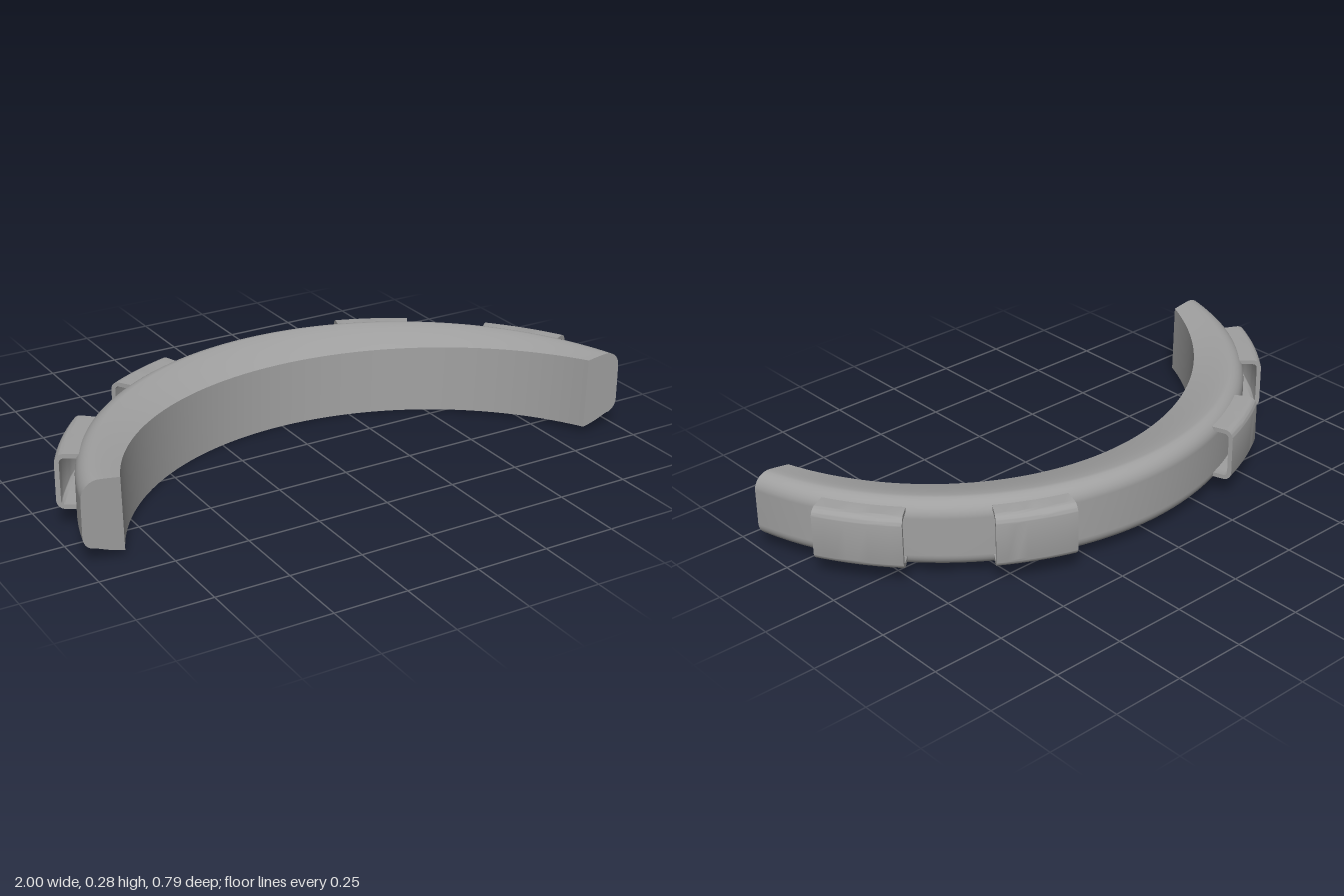
import * as THREE from 'three';
import { toCreasedNormals } from 'three/addons/utils/BufferGeometryUtils.js';

const grey = new THREE.MeshStandardMaterial({ color: 0xa0a0a0 });
grey.name = 'grey';

// Inner and outer arcs in plan: centre z, radius, half angle
const OUTER = { c: 0.64, r: 1.03, a: 1.331 };
const INNER = { c: 0.774, r: 0.944, a: 1.158 };
const arc = (o, t) => new THREE.Vector2(o.r * Math.sin(t * o.a), o.c - o.r * Math.cos(t * o.a));

// t runs along the arch (-1..1), u runs from the inner arc to the outer arc
function place(t, u, y) {
  const p = arc(INNER, t).lerp(arc(OUTER, t), u);
  return [p.x, y, p.y];
}
const width = (t) => arc(INNER, t).distanceTo(arc(OUTER, t));
const bottomEnd = (t) => 1 - 0.04 / width(t);
const bottomY = (t, u) => 0.02 * t * t + 0.05 * Math.pow(Math.max(u, 0), 1.3);
function bottomPoint(t, s) {
  const u = s * bottomEnd(t);
  return place(t, u, bottomY(t, u));
}

// Surface from fn(p, q), facing along dP x dQ
function grid(fn, np, nq) {
  const pos = [], idx = [];
  for (let i = 0; i <= np; i++) for (let j = 0; j <= nq; j++) pos.push(...fn(i / np, j / nq));
  for (let i = 0; i < np; i++) for (let j = 0; j < nq; j++) {
    const a = i * (nq + 1) + j, b = a + nq + 1;
    idx.push(a, b, a + 1, b, b + 1, a + 1);
  }
  const g = new THREE.BufferGeometry();
  g.setAttribute('position', new THREE.Float32BufferAttribute(pos, 3));
  g.setIndex(idx);
  g.computeVertexNormals();
  return g;
}

// Rounded outer side and sloping top of the cross-section
function outerProfile(t) {
  const w = width(t), pts = [], n = 7, y0 = bottomY(t, bottomEnd(t));
  for (let i = 0; i <= n; i++) {
    const a = (i / n) * Math.PI / 2;
    pts.push([1 - (0.04 / w) * (1 - Math.sin(a)), y0 + 0.045 * (1 - Math.cos(a))]);
  }
  for (let i = 0; i <= n; i++) {
    const a = (i / n) * Math.PI / 2;
    pts.push([1 - (0.055 / w) * (1 - Math.cos(a)), 0.22 + 0.055 * Math.sin(a)]);
  }
  const [u0, v0] = pts[pts.length - 1], v1 = 0.228 + 0.037 * t * t;
  for (let i = 1; i <= 4; i++) {
    const k = i / 4;
    pts.push([u0 + (0.04 - u0) * k, v0 + (v1 - v0) * Math.pow(k, 1.2)]);
  }
  return pts;
}

// Curved bracket that stands off the outer side, open at both ends
function clipGeometry(from, to) {
  const s = new THREE.Shape();
  const r0 = 1.0, r1 = 1.095, y0 = 0.068, y1 = 0.255, w = 0.015, c = 0.03, d = c - w;
  s.moveTo(r0, y0);
  s.lineTo(r1 - c, y0);
  s.absarc(r1 - c, y0 + c, c, -Math.PI / 2, 0, false);
  s.absarc(r1 - c, y1 - c, c, 0, Math.PI / 2, false);
  s.lineTo(r0, y1);
  s.lineTo(r0, y1 - w);
  s.absarc(r1 - c, y1 - c, d, Math.PI / 2, 0, true);
  s.absarc(r1 - c, y0 + c, d, 0, -Math.PI / 2, true);
  s.lineTo(r0, y0 + w);
  s.closePath();
  const g = new THREE.ExtrudeGeometry(s, { depth: 1, steps: 8, bevelEnabled: false, curveSegments: 6 });
  const p = g.attributes.position;
  for (let i = 0; i < p.count; i++) {
    const r = p.getX(i), a = THREE.MathUtils.degToRad(from + (to - from) * p.getZ(i));
    p.setXYZ(i, r * Math.sin(a), p.getY(i), OUTER.c - r * Math.cos(a));
  }
  return toCreasedNormals(g, 0.6);
}

export function createModel() {
  const group = new THREE.Group();
  const add = (name, geometry) => {
    const m = new THREE.Mesh(geometry, grey);
    m.name = name;
    group.add(m);
  };

  // Arched band: outer side with top, then inner wall
  const count = outerProfile(0).length - 1;
  add('bandOuter', grid((p, q) => {
    const t = q * 2 - 1;
    return place(t, ...outerProfile(t)[Math.round(p * count)]);
  }, count, 80));
  add('bandInner', grid((p, q) => {
    const t = q * 2 - 1, top = 0.228 + 0.037 * t * t;
    return place(t, 0.04 * (1 - p), top + (bottomY(t, 0) - top) * p);
  }, 2, 80));

  // End caps
  for (const t of [-1, 1]) {
    const loop = [];
    for (let i = 0; i <= 6; i++) {
      const u = (i / 6) * bottomEnd(t);
      loop.push([u, bottomY(t, u)]);
    }
    loop.push(...outerProfile(t), [0, bottomY(t, 0)]);
    const n = loop.length - 1;
    const rim = (k, f) => {
      const [u, y] = loop[Math.round(k * n)];
      return place(t, 0.5 + (u - 0.5) * f, 0.15 + (y - 0.15) * f);
    };
    add('bandEnd', t > 0 ? grid((p, q) => rim(q, p), 1, n) : grid((p, q) => rim(p, q), n, 1));
  }

  // Underside with oval pockets
  const holes = [-0.696, -0.381, -0.115, 0.24, 0.516];
  const half = 0.085, depth = 0.07, segs = 40;
  let start = -1;
  for (const end of [...holes, 1 + half]) {
    const a = start, b = end - half;
    add('underside', grid((p, q) => bottomPoint(a + (b - a) * q, p), 8, Math.ceil((b - a) * 40)));
    start = end + half;
  }
  for (const h of holes) {
    const ds = 0.058 / (width(h) - 0.04);
    const oval = (k, f = 1) => {
      const a = k * Math.PI * 2;
      return [h + 0.071 * f * Math.cos(a), 0.53 + ds * f * Math.sin(a)];
    };
    const lift = (pt, dy) => [pt[0], pt[1] + dy, pt[2]];
    add('undersideAroundPocket', grid((p, q) => {
      const a = p * Math.PI * 2, cs = Math.cos(a), sn = Math.sin(a);
      const m = Math.max(Math.abs(cs), Math.abs(sn));
      const [t, s] = oval(p);
      return bottomPoint(t + (h + half * cs / m - t) * q, s + (0.5 + 0.5 * sn / m - s) * q);
    }, segs, 4));
    add('pocketWall', grid((p, q) => lift(bottomPoint(...oval(q)), depth * p), 1, segs));
    add('pocketCeiling', grid((p, q) => lift(bottomPoint(...oval(p, q)), depth), segs, 2));
  }

  // Four clips, mirrored left and right
  for (const [a, b] of [[18.4, 32.2], [47.2, 62.5]]) {
    add('leftClip', clipGeometry(a, b));
    add('rightClip', clipGeometry(-b, -a));
  }
  return group;
}
